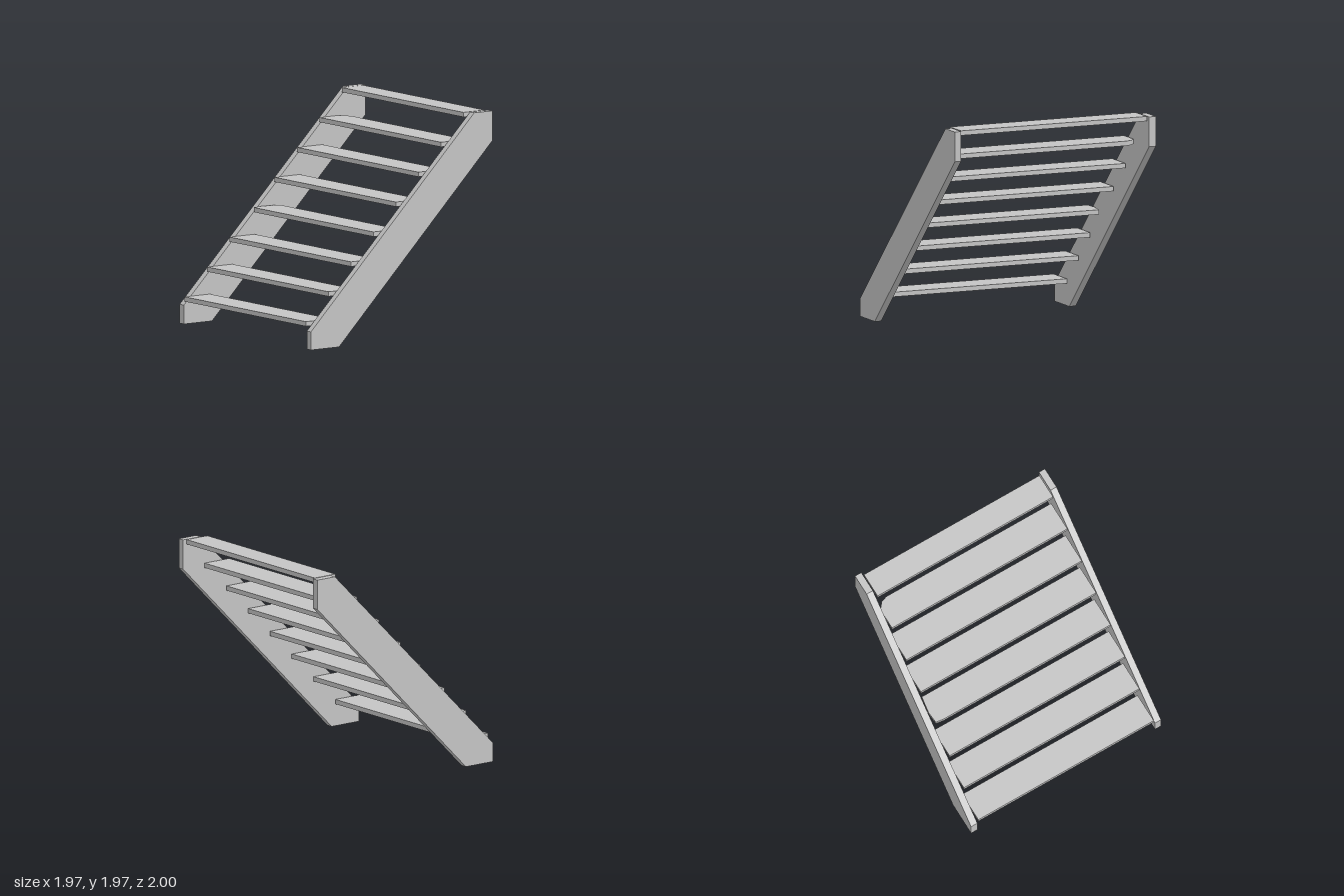
import * as THREE from 'three';

const shapeOf = (pts) => new THREE.Shape(pts.map(([a, b]) => new THREE.Vector2(a, b)));
const extrude = (pts, depth) =>
  new THREE.ExtrudeGeometry(shapeOf(pts), { depth, bevelEnabled: false });

export function createModel() {
  const model = new THREE.Group();
  model.name = 'openStaircase';
  const grey = new THREE.MeshStandardMaterial({ color: 0xc4c4c4 });
  grey.name = 'plainGrey';

  const add = (name, geometry) => {
    const mesh = new THREE.Mesh(geometry, grey);
    mesh.name = name;
    model.add(mesh);
  };

  // Sloping side boards: side profile in (z, y), extruded across x
  const stringer = (name, xMin, xMax, noseHeight) => {
    const profile = [
      [1, 0], [1, noseHeight], [-0.8, 1.968], [-1, 1.968], [-1, 1.7], [0.69, 0],
    ];
    const g = extrude(profile, xMax - xMin);
    g.rotateY(-Math.PI / 2);
    g.translate(xMax, 0, 0);
    add(name, g);
  };
  stringer('leftStringer', 0.92, 0.982, 0.163);
  stringer('rightStringer', -0.985, -0.92, 0.17);

  // Treads: plan outline in (x, distance behind the nosing), extruded upwards
  const count = 8, rise = 0.2461, going = 0.2479, thickness = 0.042;
  const xL = -0.91, xR = 0.907;
  for (let i = 0; i < count; i++) {
    const depth = i === count - 1 ? 0.235 : 0.28;
    let rightEnd = [[xL, depth], [xL, 0]];
    // Two treads have a worn end
    if (i === 6) rightEnd = [[-0.8, depth], [-0.86, 0.26], [xL, 0.2], [xL, 0]];
    if (i === 3) rightEnd = [[-0.88, depth], [-0.887, 0.24], [-0.906, 0.12], [-0.897, 0.01], [-0.82, 0]];
    const g = extrude([[xR, 0], [xR, depth], ...rightEnd], thickness);
    g.rotateX(-Math.PI / 2);
    g.translate(0, 0.204 + i * rise, 1 - i * going);
    add('tread' + (i + 1), g);
  }
  return model;
}
